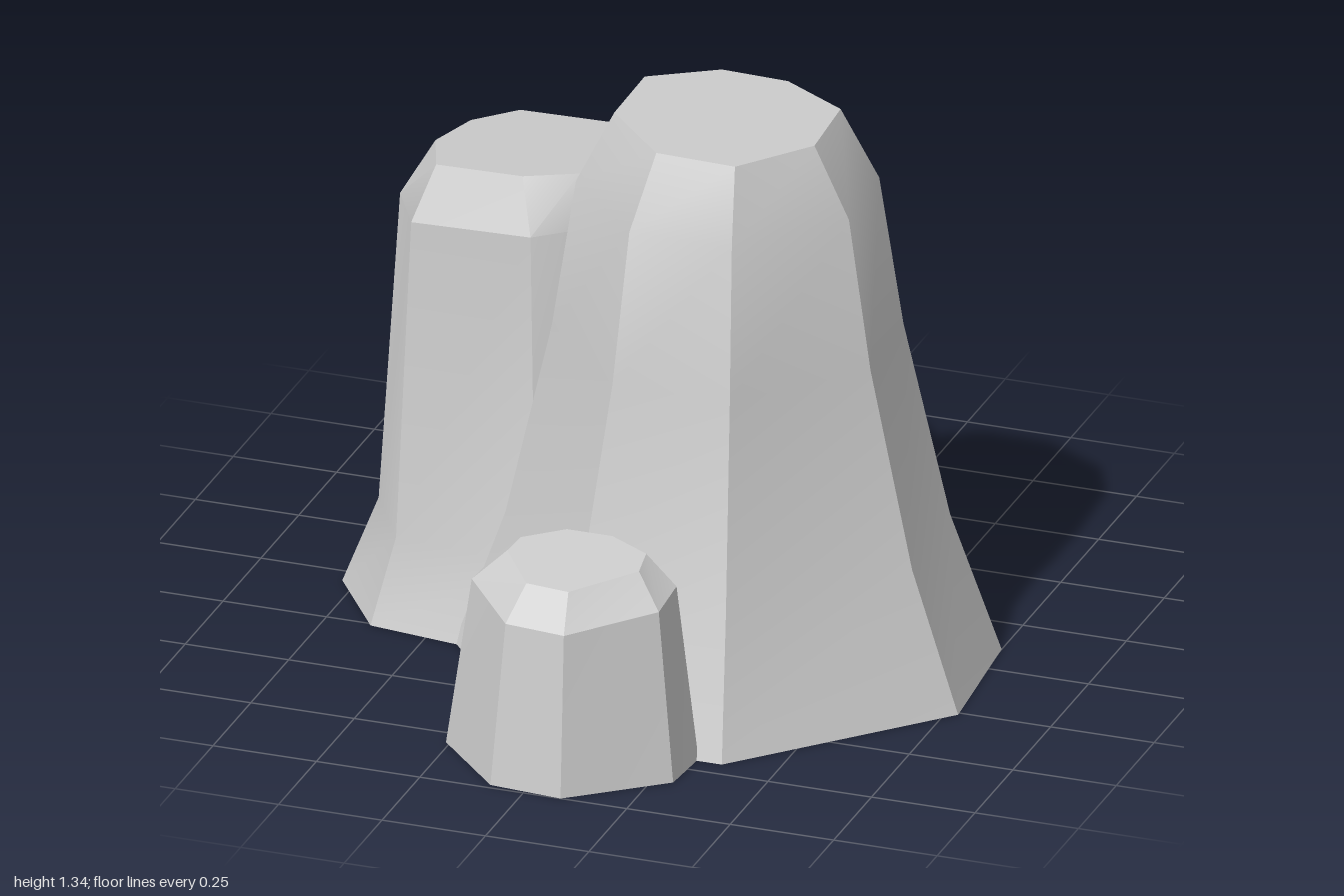
import * as THREE from 'three';
import { toCreasedNormals } from 'three/addons/utils/BufferGeometryUtils.js';

const material = new THREE.MeshStandardMaterial({ color: 0xcccccc, side: THREE.DoubleSide });

// Eight-sided rock column, open underneath: each ring blends the top outline
// (t = 0) into the base outline (t = 1) and lies on the plane y + sx * x + sz * z.
function rock(name, base, top, rings) {
  const loops = rings.map(([t, y, sx = 0, sz = 0]) =>
    base.map(([bx, bz], i) => {
      const x = THREE.MathUtils.lerp(top[i][0], bx, t);
      const z = THREE.MathUtils.lerp(top[i][1], bz, t);
      return new THREE.Vector3(x, y + sx * x + sz * z, z);
    })
  );
  const points = [];
  const n = base.length;

  // Walls
  for (let r = 0; r < loops.length - 1; r++) {
    for (let i = 0; i < n; i++) {
      const j = (i + 1) % n;
      const [a, b, c, d] = [loops[r][i], loops[r][j], loops[r + 1][j], loops[r + 1][i]];
      points.push(a, d, b, b, d, c);
    }
  }

  // Flat top
  const rim = loops[loops.length - 1];
  for (let i = 1; i < n - 1; i++) points.push(rim[0], rim[i + 1], rim[i]);

  const geometry = toCreasedNormals(new THREE.BufferGeometry().setFromPoints(points), 0.42);
  const mesh = new THREE.Mesh(geometry, material);
  mesh.name = name;
  return mesh;
}

export function createModel() {
  const group = new THREE.Group();
  group.name = 'rockFormation';

  // Tall central rock with a flared foot
  group.add(rock('mainRock',
    [[0.32, -0.49], [0.75, -0.11], [0.78, 0.26], [0.37, 0.7], [-0.06, 0.7], [-0.43, 0.28], [-0.42, -0.12], [0, -0.47]],
    [[0.23, -0.12], [0.39, -0.03], [0.4, 0.17], [0.27, 0.34], [0.08, 0.34], [-0.08, 0.18], [-0.08, -0.02], [0.07, -0.12]],
    [[1, 0], [0.68, 0.33], [0.39, 0.8], [0.24, 1.16], [0, 1.335, -0.025, -0.02]]));

  // Second tallest rock, beside it
  group.add(rock('sideRock',
    [[-0.5, -0.485], [-0.17, -0.42], [0, -0.3], [-0.05, 0.13], [-0.2, 0.32], [-0.64, 0.26], [-0.785, 0.05], [-0.7, -0.34]],
    [[-0.485, -0.305], [-0.22, -0.27], [-0.14, -0.13], [-0.2, 0.08], [-0.32, 0.13], [-0.54, 0.1], [-0.6, -0.06], [-0.57, -0.21]],
    [[1, 0], [0.61, 0.2], [0.38, 1.01, 0.08, 0.06], [0, 1.127, 0.07, 0.08]]));

  // Lower rock behind, sloping down to the back
  group.add(rock('backRock',
    [[-0.05, -1], [0.13, -0.945], [0.32, -0.62], [0.3, -0.41], [-0.03, -0.15], [-0.18, -0.16], [-0.41, -0.565], [-0.33, -0.8]],
    [[-0.04, -0.79], [0.06, -0.765], [0.15, -0.61], [0.14, -0.49], [-0.01, -0.36], [-0.18, -0.42], [-0.23, -0.57], [-0.19, -0.7]],
    [[1, 0], [0.5, 0.17], [0.35, 0.74, 0, 0.345], [0, 0.79, 0, 0.31]]));

  // Small stub in front
  group.add(rock('frontRock',
    [[-0.26, 0.8], [-0.235, 0.66], [-0.085, 0.56], [0.13, 0.56], [0.31, 0.69], [0.3, 0.83], [0.09, 1], [-0.085, 0.985]],
    [[-0.13, 0.75], [-0.12, 0.69], [-0.03, 0.63], [0.08, 0.63], [0.18, 0.68], [0.19, 0.755], [0.065, 0.88], [-0.04, 0.87]],
    [[1, 0], [0.58, 0.52, 0, -0.145], [0, 0.583, 0, -0.14]]));

  return group;
}
